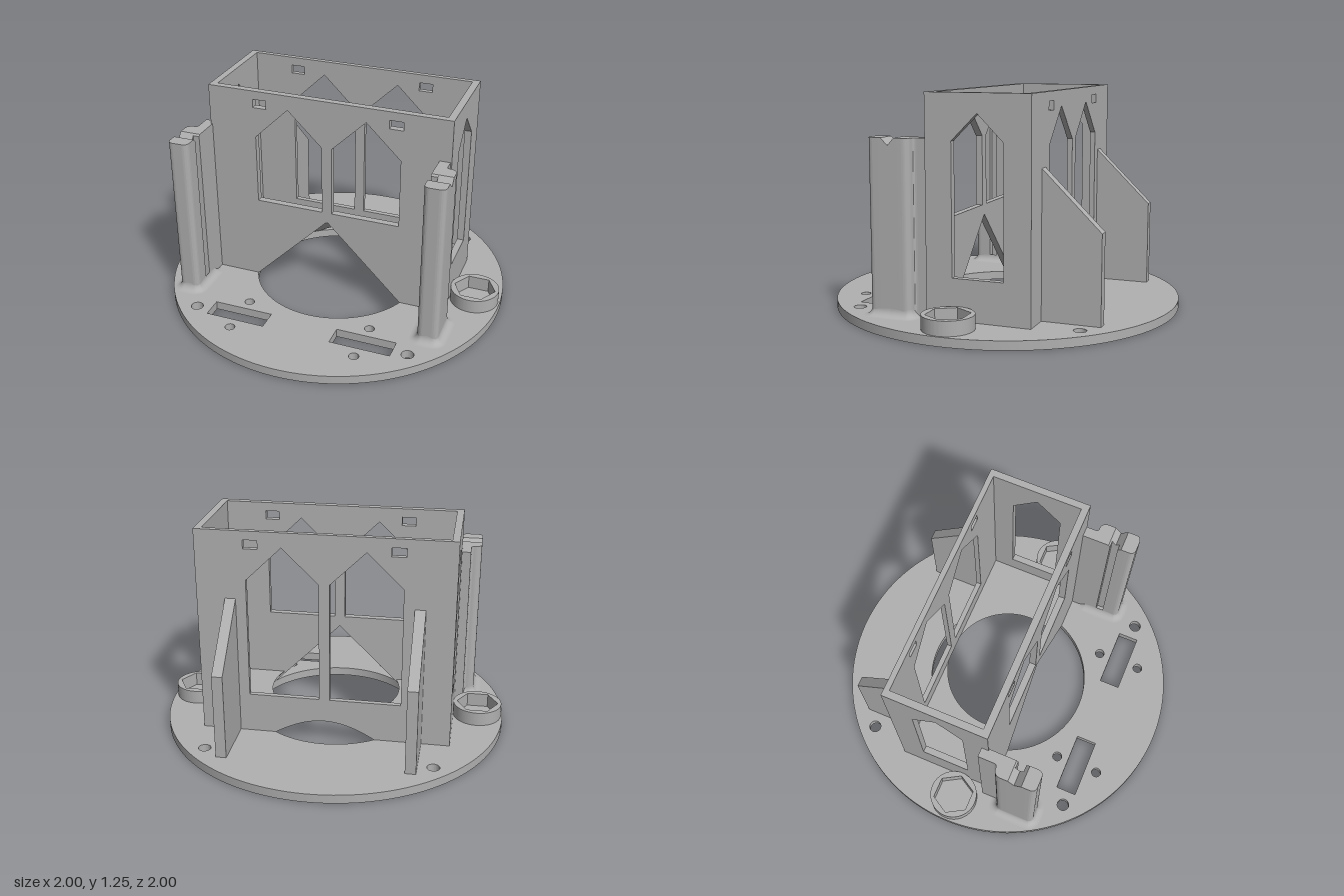
import * as THREE from 'three';
import { toCreasedNormals } from 'three/addons/utils/BufferGeometryUtils.js';

const BASE = 0.05, TOP = 1.25;          // plate top, housing top
const FRONT = 0.19, BACK = -0.4, HALF_W = 0.71, WALL = 0.04;
const FLOOR = 0.165, R_LOW = 0.49, R_HIGH = 0.38; // conical opening
const SLOPE = (R_LOW - R_HIGH) / (FLOOR - BASE);

const poly = (pts, Type = THREE.Shape) => new Type(pts.map(([a, b]) => new THREE.Vector2(a, b)));
const rect = (a0, a1, b0, b1, Type) => poly([[a0, b0], [a1, b0], [a1, b1], [a0, b1]], Type);
const circle = (a, b, r, Type = THREE.Path) => new Type().absarc(a, b, r, 0, Math.PI * 2, false);
// Window with a pointed top
const pointed = (a0, a1, b0, b1, peak) =>
  poly([[a0, b0], [a1, b0], [a1, b1], [(a0 + a1) / 2, peak], [a0, b1]], THREE.Path);

function extrude(shape, depth) {
  const g = new THREE.ExtrudeGeometry(shape, { depth, bevelEnabled: false, curveSegments: 64 });
  return toCreasedNormals(g, 0.5);
}
// Shape in (z, y), thick along x
const extrudeX = (shape, x0, x1) => extrude(shape, x1 - x0).rotateY(-Math.PI / 2).translate(x1, 0, 0);
// Shape in (x, z), thick along y
const extrudeY = (shape, y0, y1) => extrude(shape, y1 - y0).rotateX(Math.PI / 2).translate(0, y1, 0);
// Shape in (x, y), thick along z
const extrudeZ = (shape, z0, z1) => extrude(shape, z1 - z0).translate(0, 0, z0);

// Smooth surface from a rule f(u, v) -> [x, y, z]
function surface(f, nu, nv) {
  const pos = [], idx = [];
  for (let j = 0; j <= nv; j++) for (let i = 0; i <= nu; i++) pos.push(...f(i / nu, j / nv));
  for (let j = 0; j < nv; j++) for (let i = 0; i < nu; i++) {
    const a = j * (nu + 1) + i, c = a + nu + 1;
    idx.push(a, c, a + 1, a + 1, c, c + 1);
  }
  const g = new THREE.BufferGeometry();
  g.setAttribute('position', new THREE.Float32BufferAttribute(pos, 3));
  g.setIndex(idx);
  g.computeVertexNormals();
  return g;
}

export function createModel() {
  const model = new THREE.Group();
  model.name = 'roundMountHousing';
  const grey = new THREE.MeshStandardMaterial({ color: 0xb0b0b0 });
  grey.name = 'plainGrey';
  const add = (name, geometry, parent = model) => {
    const m = new THREE.Mesh(geometry, grey);
    m.name = name;
    parent.add(m);
    return m;
  };

  // Round base plate with its openings
  const plate = circle(0, 0, 1, THREE.Shape);
  plate.holes.push(circle(0, 0, R_LOW));
  for (const s of [-1, 1]) {
    for (const z of [-0.64, 0.635]) plate.holes.push(circle(s * 0.637, z, 0.035));
    for (const z of [0.49, 0.75]) plate.holes.push(circle(s * 0.37, z, 0.028));
    const [a, b] = s < 0 ? [-0.55, -0.2] : [0.2, 0.55];
    plate.holes.push(rect(a, b, 0.56, 0.68, THREE.Path));
  }
  add('basePlate', extrudeY(plate, 0, BASE));

  // Front and back walls with pointed windows and small slots
  const cutOpenings = (shape, sill) => {
    for (const s of [-1, 1]) {
      const c = s * 0.23, k = s * 0.4;
      shape.holes.push(pointed(c - 0.2, c + 0.2, sill, 0.97, 1.165));
      shape.holes.push(rect(k - 0.04, k + 0.04, 1.15, 1.2, THREE.Path));
    }
    return shape;
  };
  const frontShape = poly([[-HALF_W, BASE], [-0.45, BASE], [0, 0.5], [0.45, BASE],
    [HALF_W, BASE], [HALF_W, TOP], [-HALF_W, TOP]]);
  add('frontWall', extrudeZ(cutOpenings(frontShape, 0.56), FRONT - WALL, FRONT));
  const backShape = rect(-HALF_W, HALF_W, FLOOR, TOP);
  add('backWall', extrudeZ(cutOpenings(backShape, 0.28), BACK, BACK + 0.03));

  // Arched foot of the back wall, where the cone breaks through
  const arch = [];
  const archX = Math.sqrt(R_LOW ** 2 - BACK ** 2);
  for (let i = 0; i <= 32; i++) {
    const x = archX * (i / 16 - 1);
    arch.push([x, BASE + (R_LOW - Math.hypot(x, BACK)) / SLOPE]);
  }
  const foot = poly([[-HALF_W, BASE], ...arch, [HALF_W, BASE], [HALF_W, FLOOR], [-HALF_W, FLOOR]]);
  add('backWallFoot', new THREE.ShapeGeometry(foot).rotateY(Math.PI).translate(0, 0, BACK));

  // Housing floor around the opening
  const floorFront = FRONT - WALL;
  const start = Math.acos(floorFront / R_HIGH);
  const rim = [];
  for (let i = 0; i <= 64; i++) {
    const t = -start - (2 * Math.PI - 2 * start) * (i / 64);
    rim.push([R_HIGH * Math.sin(t), -R_HIGH * Math.cos(t)]);
  }
  const floor = poly([[-0.68, -floorFront], ...rim, [0.68, -floorFront], [0.68, 0.39], [-0.68, 0.39]]);
  add('housingFloor', new THREE.ShapeGeometry(floor).rotateX(-Math.PI / 2).translate(0, FLOOR, 0));

  for (const s of [-1, 1]) {
    const side = s > 0 ? 'left' : 'right';

    // Conical face of the opening, one half per side
    add(side + 'ConeFace', surface((u, v) => {
      const y = BASE + (FLOOR - BASE) * v, r = R_LOW - (y - BASE) * SLOPE;
      const t0 = Math.acos(floorFront / r), t1 = r > -BACK ? Math.acos(BACK / r) : Math.PI;
      const t = t0 + (t1 - t0) * (s > 0 ? u : 1 - u);
      return [s * r * Math.sin(t), y, r * Math.cos(t)];
    }, 40, 24));

    // Side wall
    const wall = rect(BACK, FRONT, BASE, TOP);
    wall.holes.push(pointed(-0.25, 0.04, 0.28, 1.0, 1.145));
    const x0 = s > 0 ? HALF_W - WALL : -HALF_W;
    add(side + 'Wall', extrudeX(wall, x0, x0 + WALL));

    // Sloped rear fin
    const fin = poly([[BACK, BASE], [BACK, 0.86], [-0.725, 0.54], [-0.725, BASE]]);
    add(side + 'RearFin', extrudeX(fin, s * 0.52 - 0.03, s * 0.52 + 0.03));

    // Round boss with a hexagonal pocket
    const boss = circle(s * 0.85, 0, 0.14, THREE.Shape);
    const hex = [0, 1, 2, 3, 4, 5].map(i =>
      [s * 0.85 + 0.12 * Math.cos(i * Math.PI / 3), 0.12 * Math.sin(i * Math.PI / 3)]);
    boss.holes.push(poly(hex, THREE.Path));
    add(side + 'HexBoss', extrudeY(boss, BASE, 0.13));

    // Notched post: t runs from its inner face outwards
    const post = new THREE.Group();
    post.name = side + 'Post';
    model.add(post);
    const inner = s > 0 ? 0.643 : -0.7, X = t => inner + s * t, H = 1.01;
    const spanX = (shape, t0, t1) => extrudeX(shape, Math.min(X(t0), X(t1)), Math.max(X(t0), X(t1)));

    const head = new THREE.Shape();
    head.moveTo(X(0), 0.42);
    head.lineTo(X(0), 0.465);
    head.quadraticCurveTo(X(0), 0.5, X(0.035), 0.5);
    head.lineTo(X(0.085), 0.5);
    head.quadraticCurveTo(X(0.12), 0.5, X(0.12), 0.465);
    head.lineTo(X(0.12), 0.42);
    add('postFront', extrudeY(head, BASE, H), post);

    const tail = new THREE.Shape();
    tail.moveTo(X(0), 0.345);
    tail.lineTo(X(0), 0.15);
    tail.lineTo(X(0.06), 0.15);
    tail.lineTo(X(0.06), 0.24);
    tail.quadraticCurveTo(X(0.06), 0.26, X(0.075), 0.26);
    tail.quadraticCurveTo(X(0.12), 0.26, X(0.12), 0.305);
    tail.lineTo(X(0.12), 0.345);
    add('postArm', extrudeY(tail, BASE, H), post);

    const notch = poly([[0.345, BASE], [0.42, BASE], [0.42, H], [0.38, 0.97], [0.345, H]]);
    add('postNotch', spanX(notch, 0.037, 0.12), post);
    // Lips beside the vertical groove
    add('grooveLipBack', spanX(poly([[0.345, BASE], [0.355, BASE], [0.355, 1], [0.345, H]]), 0, 0.037), post);
    add('grooveLipFront', spanX(poly([[0.4, BASE], [0.42, BASE], [0.42, H], [0.4, 0.99]]), 0, 0.037), post);

    // Flared fillet at the foot of the post
    add('postFlare', surface((u, v) => {
      const f = 0.045, p = v * Math.PI / 2, o = f * (1 - Math.sin(p));
      const a = u * Math.PI * 2, c = Math.cos(a), d = Math.sin(a), r = 0.035;
      const cx = Math.max(-1, Math.min(1, c * 4)), cz = Math.max(-1, Math.min(1, d * 4));
      return [X(0.06) + cx * (0.06 - r) + c * (r + o), BASE + f * (1 - Math.cos(p)),
        0.38 + cz * (0.12 - r) + d * (r + o)];
    }, 64, 8), post);
  }
  return model;
}
